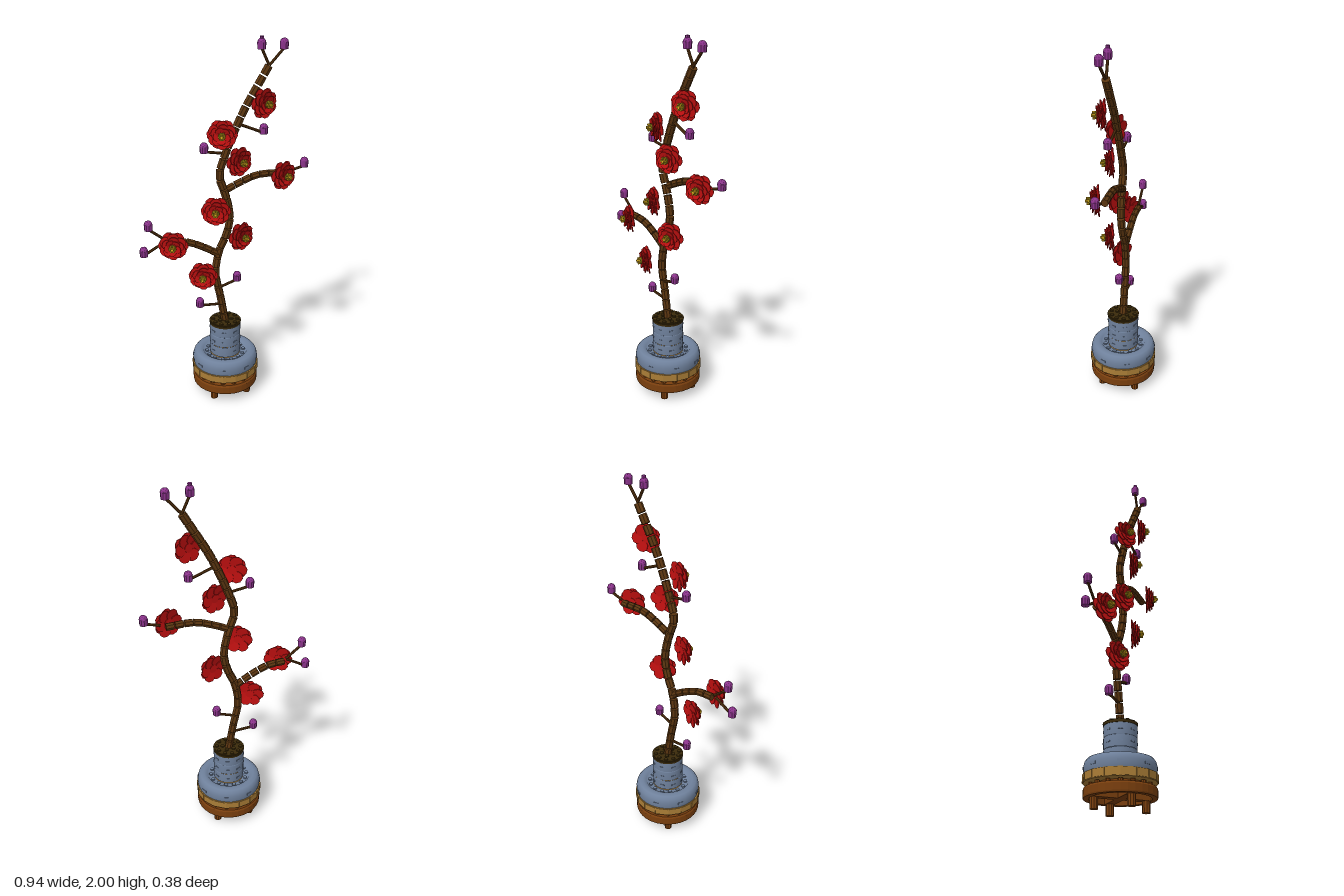
import * as THREE from 'three';

const mat = (name, color, extra = {}) => {
  const m = new THREE.MeshStandardMaterial({ color, ...extra });
  m.name = name;
  return m;
};

export function createModel() {
  const bark = mat('bark brown', 0x5a3510, { flatShading: true });
  const wood = mat('base brown', 0x7a3f0e, { flatShading: true });
  const tan = mat('tan', 0xaa7d36, { flatShading: true });
  const blue = mat('vase blue', 0x6f819c, { side: THREE.DoubleSide });
  const soilMat = mat('soil', 0x3a2a0a, { flatShading: true });
  const red = mat('petal red', 0xbe1010, { flatShading: true });
  const yellow = mat('stamen yellow', 0xd8ac1c, { flatShading: true });
  const olive = mat('flower heart olive', 0x7d7412, { flatShading: true });
  const purple = mat('bud purple', 0x8c348c, { flatShading: true });

  const model = new THREE.Group();
  model.name = 'floweringBranchInVase';
  const V = (x, y, z = 0) => new THREE.Vector3(x, y, z);

  const add = (parent, name, geometry, material, x = 0, y = 0, z = 0) => {
    const m = new THREE.Mesh(geometry, material);
    m.name = name;
    m.position.set(x, y, z);
    parent.add(m);
    return m;
  };
  const group = (name, parent = model) => {
    const g = new THREE.Group();
    g.name = name;
    parent.add(g);
    return g;
  };
  // cylinder running from point a to point b
  const rod = (parent, name, a, b, r, sides, material) => {
    const m = add(parent, name, new THREE.CylinderGeometry(r, r, a.distanceTo(b), sides), material);
    m.position.copy(a).lerp(b, 0.5);
    m.quaternion.setFromUnitVectors(V(0, 1), b.clone().sub(a).normalize());
    return m;
  };
  // n copies of a geometry around the vertical axis
  const around = (parent, name, n, r, y, geometry, material, start = 0) => {
    for (let i = 0; i < n; i++) {
      const a = start + (i / n) * Math.PI * 2;
      add(parent, name, geometry, material, r * Math.sin(a), y, r * Math.cos(a)).rotation.y = a;
    }
  };
  const lathe = pts => new THREE.LatheGeometry(pts.map(p => new THREE.Vector2(...p)), 32);

  // ---- wooden stand: four feet, open ring, cross ribs and teeth on top
  const stand = group('stand');
  around(stand, 'foot', 4, 0.137, 0.03, new THREE.CylinderGeometry(0.021, 0.021, 0.06, 10), wood, Math.PI / 4);
  add(stand, 'standRing', lathe([[0.155, 0.1], [0.155, 0.057], [0.182, 0.057], [0.184, 0.065],
    [0.184, 0.1], [0.178, 0.11], [0, 0.11]]), wood);
  add(stand, 'standPlate', new THREE.CylinderGeometry(0.16, 0.16, 0.02, 24), wood, 0, 0.098);
  for (const a of [Math.PI / 4, -Math.PI / 4]) {
    add(stand, 'crossRib', new THREE.BoxGeometry(0.32, 0.035, 0.045), wood, 0, 0.075).rotation.y = a;
  }
  around(stand, 'tooth', 16, 0.155, 0.117, new THREE.CylinderGeometry(0.014, 0.014, 0.016, 8), wood);
  add(stand, 'standCore', new THREE.CylinderGeometry(0.12, 0.12, 0.03, 20), wood, 0, 0.12);

  // ---- vase: tan band, blue shoulder with studs, neck and rim
  const vase = group('vase');
  add(vase, 'band', new THREE.CylinderGeometry(0.186, 0.186, 0.045, 16), tan, 0, 0.1535);
  around(vase, 'bandTile', 16, 0.182, 0.154, new THREE.BoxGeometry(0.064, 0.04, 0.008), tan, Math.PI / 16);
  add(vase, 'shoulder', lathe([[0.18, 0.176], [0.183, 0.19], [0.183, 0.215], [0.178, 0.235],
    [0.166, 0.25], [0.145, 0.254], [0.125, 0.248], [0.118, 0.236], [0.085, 0.234]]), blue);
  around(vase, 'shoulderStud', 14, 0.104, 0.238, new THREE.CylinderGeometry(0.011, 0.011, 0.01, 8), blue);
  around(vase, 'sideStud', 8, 0.182, 0.205, new THREE.BoxGeometry(0.03, 0.012, 0.006), blue, Math.PI / 8);
  for (const y of [0.236, 0.299, 0.361]) {
    add(vase, 'neckRing', lathe([[0.083, y], [0.086, y + 0.003], [0.086, y + 0.058], [0.083, y + 0.062]]), blue);
    around(vase, 'neckClip', 8, 0.085, y + 0.03, new THREE.BoxGeometry(0.024, 0.008, 0.006), blue, Math.PI / 8);
  }
  add(vase, 'rim', new THREE.CylinderGeometry(0.09, 0.088, 0.014, 20), soilMat, 0, 0.428);
  add(vase, 'soil', new THREE.CylinderGeometry(0.084, 0.084, 0.01, 20), soilMat, 0, 0.434);
  for (const [n, r] of [[10, 0.068], [5, 0.035]]) {
    around(vase, 'soilLump', n, r, 0.438, new THREE.CylinderGeometry(0.011, 0.013, 0.014, 8), soilMat);
  }

  // ---- jointed branches: short pieces along a curve with small gaps
  const jointed = (name, pts, n, r) => {
    const g = group(name);
    const curve = new THREE.CatmullRomCurve3(pts);
    for (let i = 0; i < n; i++) {
      rod(g, name + 'Piece', curve.getPointAt(i / n), curve.getPointAt((i + 0.86) / n), r, 8, bark);
    }
    return g;
  };
  jointed('trunk', [V(0, 0.43), V(-0.03, 0.6), V(-0.055, 0.73), V(-0.035, 0.865), V(0.004, 0.955, 0.003),
    V(0.025, 1.05, 0.005), V(0.002, 1.18, 0.008), V(-0.035, 1.3, 0.01), V(0, 1.42, 0.012),
    V(0.045, 1.53, 0.014), V(0.1, 1.645, 0.016), V(0.165, 1.755, 0.018), V(0.228, 1.86, 0.02)], 26, 0.022);
  jointed('leftwardBranch', [V(-0.04, 0.85), V(-0.12, 0.9), V(-0.22, 0.945), V(-0.325, 0.955)], 6, 0.02);
  jointed('rightwardBranch', [V(0.01, 1.215), V(0.09, 1.25), V(0.18, 1.278), V(0.34, 1.275)], 7, 0.02);

  // ---- twigs, each ending in a bud: [start x, y, bud x, y, z]
  const budBody = new THREE.CylinderGeometry(0.023, 0.021, 0.034, 10);
  const budTop = new THREE.IcosahedronGeometry(0.022, 1);
  [[-0.02, 0.54, -0.147, 0.57, 0], [-0.04, 0.645, 0.068, 0.7, 0.005],
    [-0.34, 0.96, -0.45, 0.92, 0.005], [-0.33, 0.97, -0.42, 1.062, 0],
    [0.36, 1.285, 0.443, 1.325, 0.012], [0.0, 1.415, -0.118, 1.455, 0.012],
    [0.07, 1.565, 0.203, 1.53, 0.02], [0.225, 1.855, 0.182, 1.962, 0.022],
    [0.225, 1.855, 0.3, 1.958, 0.028]].forEach(([x, y, bx, by, bz]) => {
    const g = group('budTwig');
    rod(g, 'twig', V(x, y, bz * 0.8), V(bx, by - 0.02, bz), 0.0075, 8, bark);
    add(g, 'budBody', budBody, purple, bx, by - 0.008, bz);
    add(g, 'budTop', budTop, purple, bx, by + 0.008, bz);
  });
  add(model, 'budTip', new THREE.CylinderGeometry(0.011, 0.011, 0.02, 8), purple, 0.182, 1.99, 0.022);

  // ---- flowers: rings of thin cupped petals around a stamen cluster
  const petal = new THREE.CylinderGeometry(1, 1, 0.004, 9).rotateX(Math.PI / 2);
  const flower = (x, y) => {
    const g = group('flower');
    g.position.set(x, y, 0.055);
    g.rotation.y = Math.sign(x) * 0.36;
    // [petal count, ring radius, petal radius, height, cup angle, turn]
    [[6, 0.047, 0.033, -0.016, -0.1, 0], [6, 0.046, 0.03, -0.004, 0.12, 0.52],
      [5, 0.034, 0.027, 0.006, 0.25, 0.2], [5, 0.025, 0.022, 0.014, 0.35, 0.83]].forEach(
      ([n, r, size, z, cup, turn]) => {
        for (let i = 0; i < n; i++) {
          const arm = group('petalArm', g);
          arm.rotation.z = turn + (i / n) * Math.PI * 2;
          const p = add(arm, 'petal', petal, red, r, 0, z);
          p.scale.set(size, size * 1.05, 1);
          p.rotation.set(0.14, -cup, 0);
        }
      });
    const disc = (name, r, h, m, z) =>
      add(g, name, new THREE.CylinderGeometry(r, r, h, 10).rotateX(Math.PI / 2), m, 0, 0, z);
    disc('flowerCore', 0.024, 0.036, red, 0);
    disc('flowerHeart', 0.02, 0.008, olive, 0.024);
    disc('stamenStem', 0.008, 0.022, yellow, 0.036);
    for (let i = 0; i < 6; i++) {
      const a = (i / 6) * Math.PI * 2;
      add(g, 'stamen', new THREE.CylinderGeometry(0.005, 0.005, 0.012, 6).rotateX(Math.PI / 2),
        yellow, 0.015 * Math.cos(a), 0.015 * Math.sin(a), 0.034);
    }
  };
  [[0.197, 1.67], [-0.035, 1.525], [0.066, 1.375], [0.315, 1.275], [-0.07, 1.115],
    [0.08, 0.955], [-0.305, 0.95], [-0.143, 0.75]].forEach(p => flower(...p));

  return model;
}
